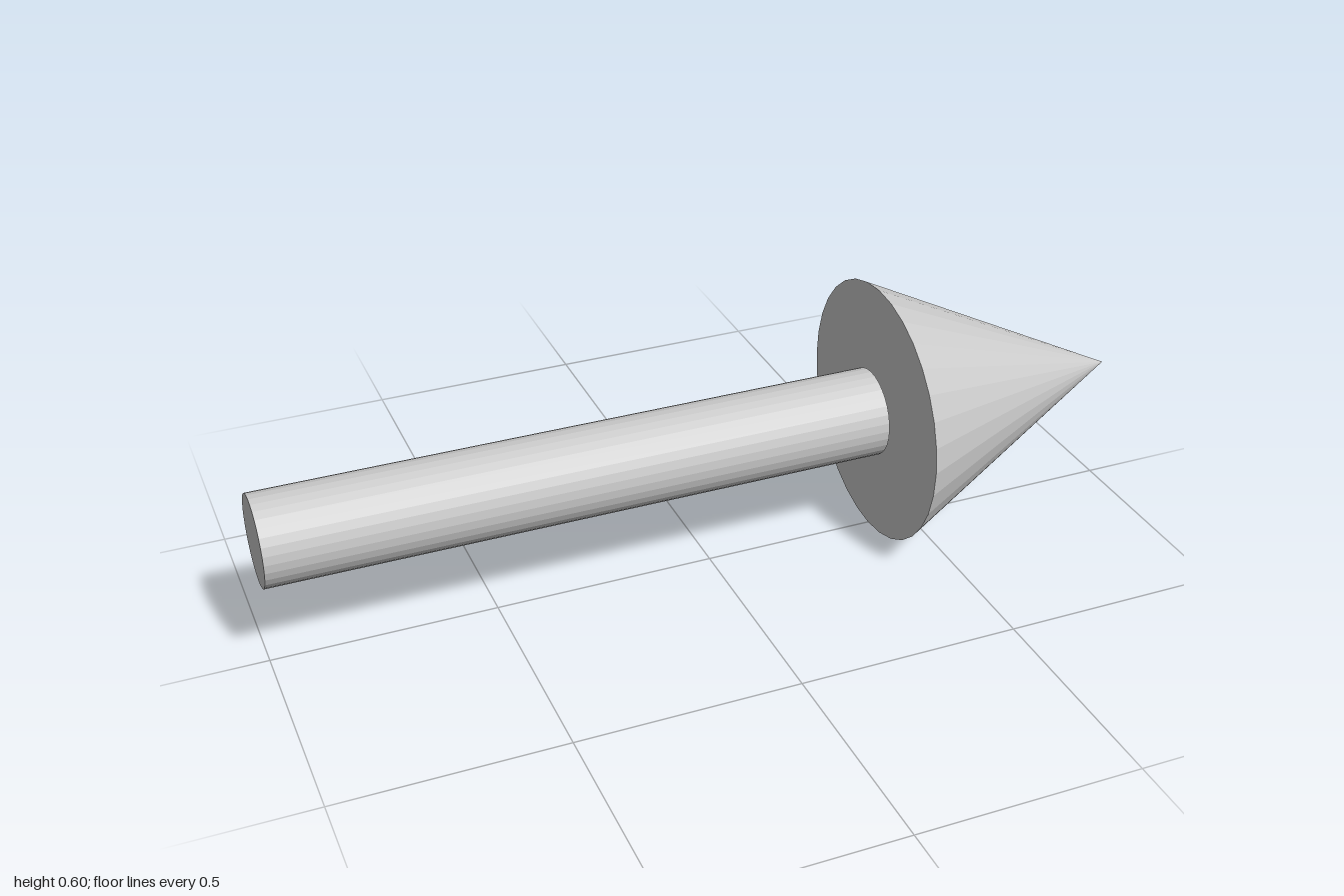
import * as THREE from 'three';

const SIDES = 32;
const AXIS_HEIGHT = 0.3;

export function createModel() {
  const arrow = new THREE.Group();
  arrow.name = 'arrow';
  const material = new THREE.MeshStandardMaterial({ color: 0xcccccc, flatShading: true });

  // Lays an upright geometry along +x between two x positions
  const addPart = (name, geometry, startX, endX) => {
    geometry.rotateZ(-Math.PI / 2);
    const mesh = new THREE.Mesh(geometry, material);
    mesh.name = name;
    mesh.position.set((startX + endX) / 2, AXIS_HEIGHT, 0);
    arrow.add(mesh);
  };

  // Round shaft, stopping just short of the head
  addPart('shaft', new THREE.CylinderGeometry(0.1, 0.1, 1.39, SIDES), -1, 0.39);

  // Conical head with a closed base
  addPart('arrowHead', new THREE.ConeGeometry(0.3, 0.6, SIDES), 0.4, 1);

  return arrow;
}
